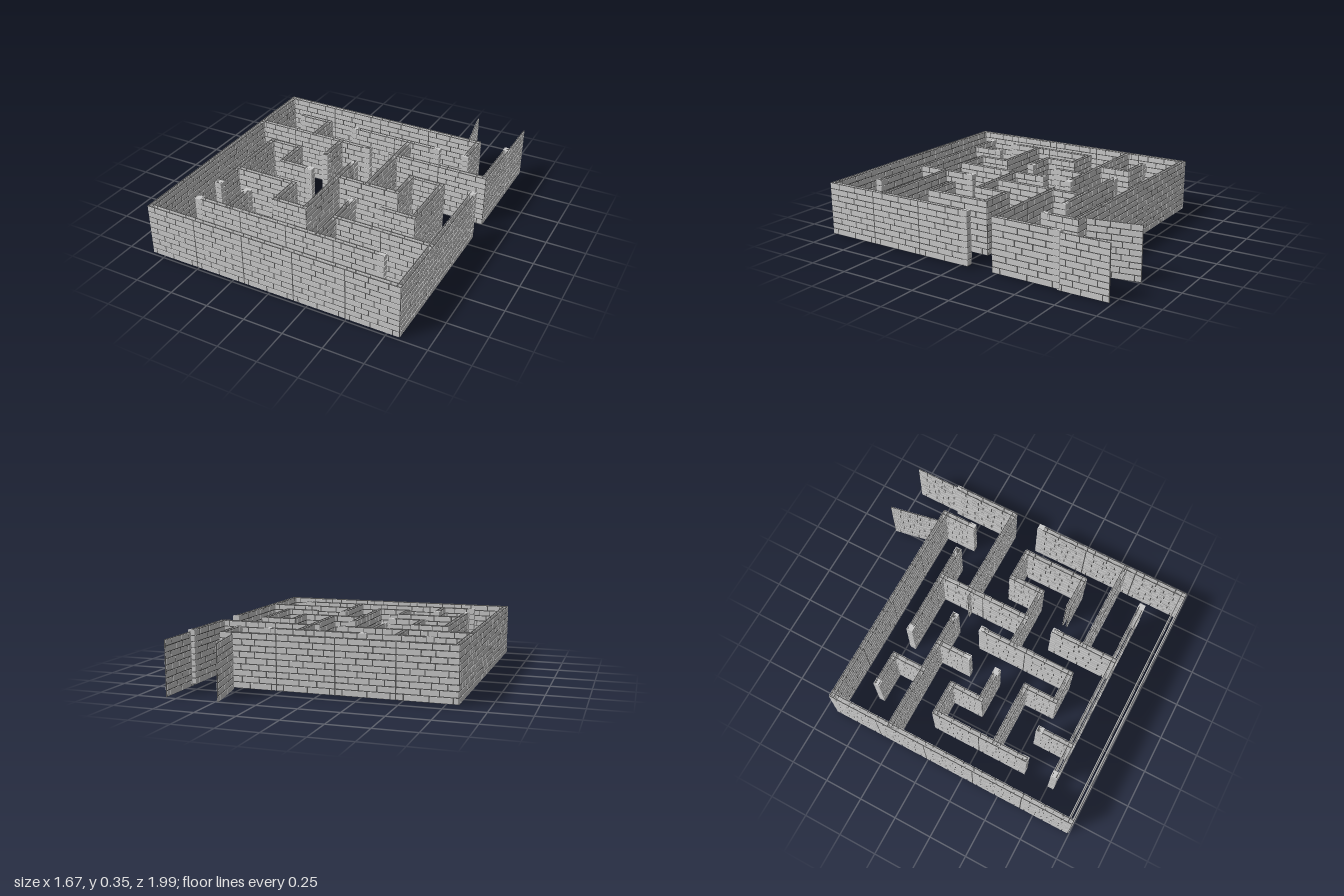
import * as THREE from 'three';
import { mergeGeometries } from 'three/addons/utils/BufferGeometryUtils.js';

const H = 0.336, BASE = 0.01, ROWS = 9, TILE = 0.335;
const OFF = 0.013;                       // each skin's distance from the wall's middle
const X = i => 0.2035 * (i - 4);         // maze grid lines
const Z = j => -0.659 + 0.2042 * j;

const brickMat = new THREE.MeshStandardMaterial({ color: 0xcccccc, flatShading: true });
const mortarMat = new THREE.MeshStandardMaterial({ color: 0x555555 });

function seeded(seed) {
  return () => (seed = (seed * 16807) % 2147483647) / 2147483647;
}

// One square tile of staggered bricks, 1 unit wide in x and H high
function brickTile() {
  const rnd = seeded(41), row = H / ROWS, gap = 0.007, parts = [];
  for (let r = 0; r < ROWS; r++) {
    const cuts = r % 2 ? [0, 0.33, 0.66, 1] : [0, 0.15, 0.48, 0.82, 1];
    const edges = cuts.map((c, k) => (k && k < cuts.length - 1 ? c + (rnd() - 0.5) * 0.12 : c));
    for (let k = 0; k + 1 < edges.length; k++) {
      const w = edges[k + 1] - edges[k] - 0.02;
      const h = row - gap + (rnd() - 0.5) * 0.003;
      const b = new THREE.BoxGeometry(w, h, 0.010 + rnd() * 0.002);
      b.translate((edges[k] + edges[k + 1]) / 2, (r + 0.5) * row, 0);
      parts.push(b);
    }
  }
  return mergeGeometries(parts);
}

// End post: stacked blocks
function postBlocks() {
  const rnd = seeded(7), row = H / ROWS, parts = [];
  for (let r = 0; r < ROWS; r++) {
    const w = 0.039 + rnd() * 0.003;
    const b = new THREE.BoxGeometry(w, row - 0.006, w);
    b.translate(0, (r + 0.5) * row + 0.003, 0);
    parts.push(b);
  }
  return mergeGeometries(parts);
}

export function createModel() {
  const model = new THREE.Group();
  model.name = 'brickMaze';
  const tileGeo = brickTile();
  const slabGeo = new THREE.BoxGeometry(1, H, 0.006).translate(0.5, H / 2, 0);
  const postGeo = postBlocks();
  const coreGeo = new THREE.BoxGeometry(0.034, H, 0.034).translate(0, H / 2, 0);

  const add = (parent, name, geo, mat) => {
    const m = new THREE.Mesh(geo, mat);
    m.name = name;
    parent.add(m);
    return m;
  };

  // Single skin of brick tiles from one point to another
  function panel(parent, name, x0, z0, x1, z1, y = BASE) {
    const g = new THREE.Group();
    g.name = name;
    const len = Math.hypot(x1 - x0, z1 - z0);
    const n = Math.max(1, Math.round(len / TILE));
    for (let k = 0; k < n; k++) {
      const t = add(g, 'bricks', tileGeo, brickMat);
      t.position.x = (k * len) / n;
      t.scale.x = len / n;
    }
    add(g, 'mortar', slabGeo, mortarMat).scale.x = len;
    g.position.set(x0, y, z0);
    g.rotation.y = -Math.atan2(z1 - z0, x1 - x0);
    parent.add(g);
  }

  // Hollow wall of two skins between two grid nodes
  function wall(name, i0, j0, i1, j1) {
    const g = new THREE.Group();
    g.name = name;
    const e = 0.016, dx = Math.sign(i1 - i0), dz = Math.sign(j1 - j0);
    for (const s of [-OFF, OFF]) {
      panel(g, 'wallSkin',
        X(i0) - dx * e + dz * s, Z(j0) - dz * e + dx * s,
        X(i1) + dx * e + dz * s, Z(j1) + dz * e + dx * s);
    }
    model.add(g);
  }

  // Outer walls
  [[0, 0, 7, 0], [7, 0, 7, 1], [0, 0, 0, 8], [0, 8, 8, 8],
    [8, 3, 8, 8], [8, 0, 8, 2]].forEach(w => wall('outerWall', ...w));

  // Inner walls
  [[1, 1, 2, 1], [2, 1, 2, 2], [0, 2, 4, 2], [3, 2, 3, 3],
    [3, 1, 6, 1], [5, 1, 5, 4], [5, 2, 8, 2], [4, 4, 6, 4],
    [6, 3, 6, 4], [6, 3, 7, 3], [7, 3, 7, 5], [6, 5, 7, 5],
    [4, 3, 4, 6], [3, 6, 4, 6], [3, 5, 3, 6], [1, 5, 3, 5],
    [1, 3, 1, 6], [1, 3, 2, 3], [2, 3, 2, 4], [2, 4, 3, 4],
    [5, 5, 5, 7], [5, 6, 8, 6], [1, 7, 7, 7], [2, 6, 2, 7],
  ].forEach(w => wall('innerWall', ...w));
  panel(model, 'wallOverhang', 0.152, Z(2) + OFF, X(5), Z(2) + OFF);

  // Posts closing the free wall ends
  [[1, 1], [7, 1], [8, 0], [8, 3], [4, 2], [3, 3], [3, 1], [6, 1], [4, 3],
    [1, 6], [3, 4], [5, 5], [1, 7], [7, 7], [2, 6]].forEach(([i, j]) => {
    const g = new THREE.Group();
    g.name = 'endPost';
    add(g, 'postBlocks', postGeo, brickMat);
    add(g, 'postCore', coreGeo, mortarMat);
    g.position.set(X(i), BASE, Z(j));
    model.add(g);
  });

  // Open gate leaves at the back
  panel(model, 'leftGate', 0.822, -0.66, 0.822, -0.98, 0);
  panel(model, 'rightGate', 0.543, -0.68, 0.483, -1.0, 0);
  return model;
}
